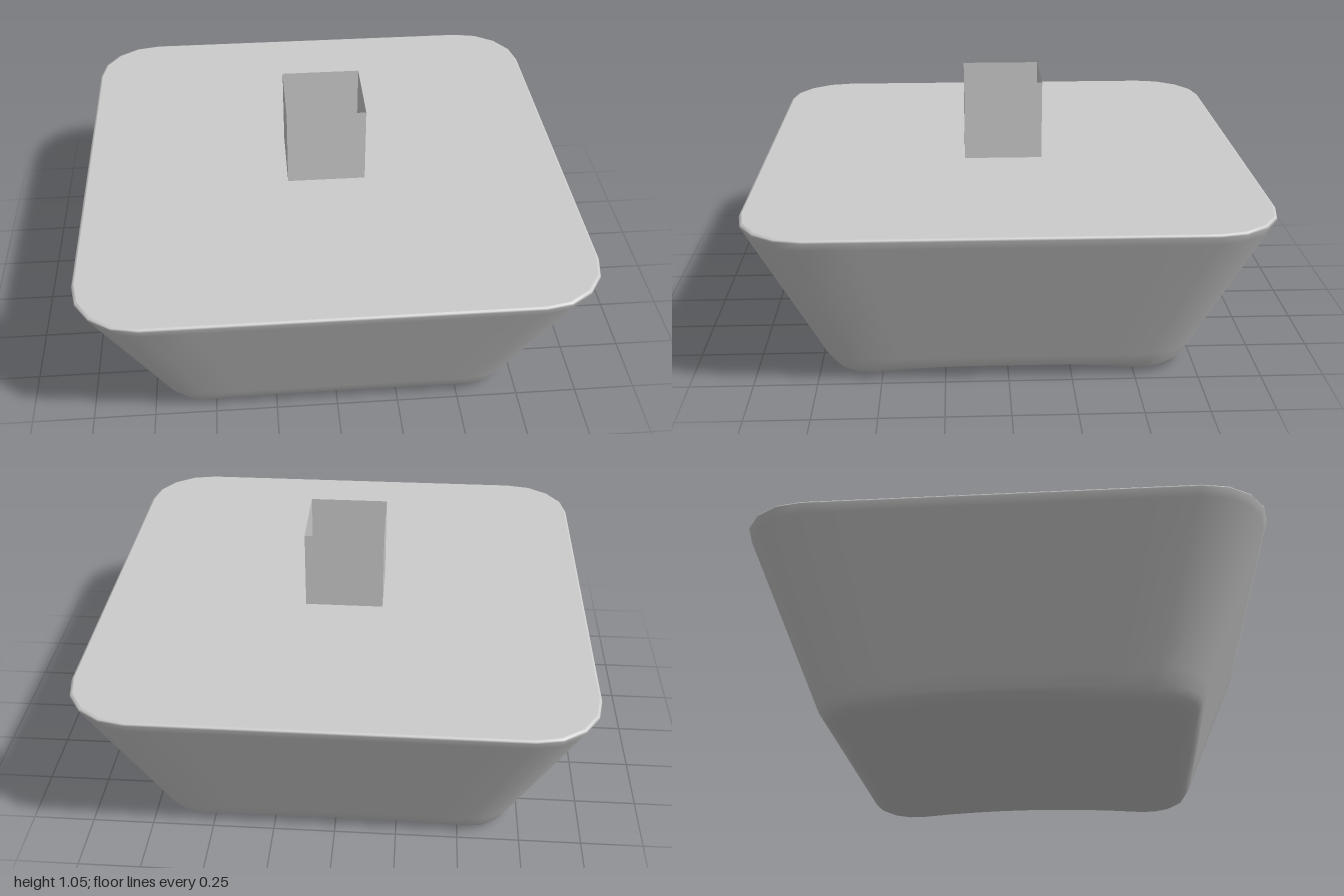
import * as THREE from 'three';

const CORNER = 0.26, ARC = 4, EDGE = 8;
const TOP = 0.725, FOOT = 0.62; // FOOT: scale at which the hollow underside ends

// Unit rounded square, counter-clockwise seen with z pointing down the page
function outline() {
  const pts = [];
  for (let q = 0; q < 4; q++) {
    const a0 = q * Math.PI / 2, c = 1 - CORNER;
    const cx = (q === 0 || q === 3) ? c : -c;
    const cz = q < 2 ? c : -c;
    for (let i = 0; i <= ARC; i++) {
      const a = a0 + (i / ARC) * Math.PI / 2;
      pts.push([cx + CORNER * Math.cos(a), cz + CORNER * Math.sin(a)]);
    }
    // straight edge towards the next corner
    const [x, z] = pts[pts.length - 1];
    const dx = -Math.sin(a0 + Math.PI / 2 - Math.PI / 2 + Math.PI / 2), dz = Math.cos(a0 + Math.PI / 2);
    for (let i = 1; i < EDGE; i++) {
      const t = 2 * c * i / EDGE;
      pts.push([x + dx * t, z + dz * t]);
    }
  }
  return pts;
}

// Shallow spherical hollow under the body
const hollow = (x, z) => 0.068 - 0.1 * (x * x + z * z);

function bodyGeometry(pts) {
  const n = pts.length, pos = [], idx = [];
  // Each ring: scale, and height as a function of its outline point
  const foot = (lift) => (x, z) => hollow(x * FOOT, z * FOOT) + lift;
  const rings = [0.12, 0.25, 0.38, 0.5, FOOT].map((s) => [s, (x, z) => hollow(x * s, z * s)]);
  rings.push([0.66, foot(0.003)], [0.69, foot(0.01)], [0.712, foot(0.024)], [0.73, () => 0.06]);
  for (const t of [0.08, 0.35, 0.65, 0.95, 1]) {
    rings.push([0.73 + 0.27 * t, () => 0.06 + 0.655 * t]);
  }
  rings.push([0.997, () => 0.722], [0.99, () => TOP]);

  pos.push(0, hollow(0, 0), 0);
  for (const [s, y] of rings) for (const [x, z] of pts) pos.push(x * s, y(x, z), z * s);
  for (let i = 0; i < n; i++) {
    const j = (i + 1) % n;
    idx.push(0, 1 + i, 1 + j);
    for (let r = 0; r < rings.length - 1; r++) {
      const a = 1 + r * n + i, b = 1 + r * n + j;
      idx.push(a, a + n, b, b, a + n, b + n);
    }
  }
  const g = new THREE.BufferGeometry();
  g.setAttribute('position', new THREE.Float32BufferAttribute(pos, 3));
  g.setIndex(idx);
  g.computeVertexNormals();
  return g;
}

export function createModel() {
  const group = new THREE.Group();
  const add = (name, geometry, options = {}) => {
    const mesh = new THREE.Mesh(geometry, new THREE.MeshStandardMaterial({ color: 0xcccccc, ...options }));
    mesh.name = name;
    group.add(mesh);
    return mesh;
  };
  const pts = outline();

  // Tapered body with rounded corners and hollow underside
  add('body', bodyGeometry(pts));

  // Flat lid closing the wide end
  const lid = new THREE.ShapeGeometry(new THREE.Shape(pts.map(([x, z]) => new THREE.Vector2(x * 0.99, -z * 0.99))));
  lid.rotateX(-Math.PI / 2);
  add('lid', lid).position.y = TOP;

  // Open square socket standing on the lid
  const height = 1.05 - TOP;
  const socket = new THREE.CylinderGeometry(0.16 * Math.SQRT2, 0.16 * Math.SQRT2, height, 4, 1, true);
  socket.rotateY(Math.PI / 4);
  add('socket', socket, { flatShading: true, side: THREE.DoubleSide }).position.y = TOP + height / 2;

  return group;
}
